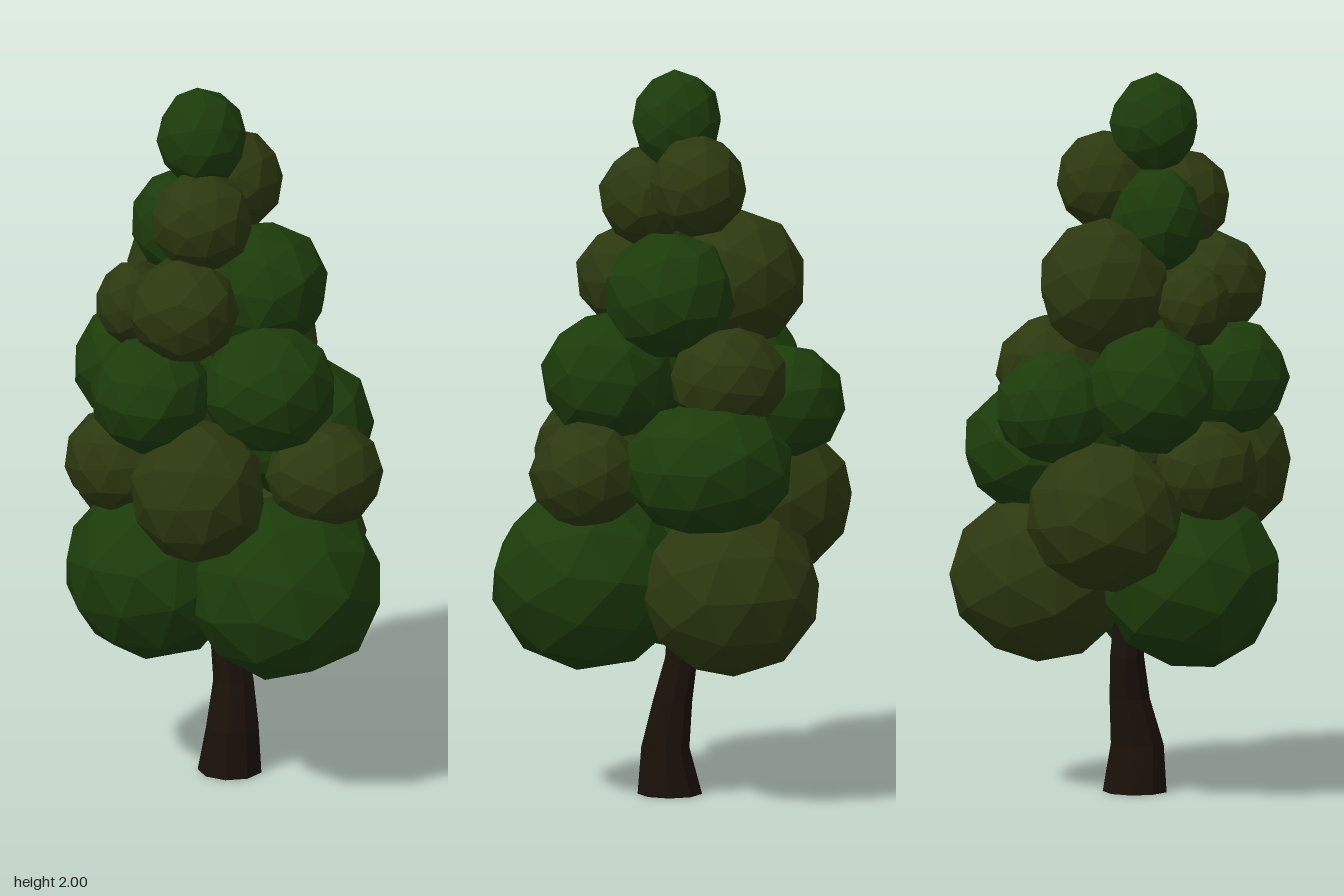
import * as THREE from 'three';

const leafDark = new THREE.MeshStandardMaterial({ color: 0x1c3b0a, flatShading: true });
const leafOlive = new THREE.MeshStandardMaterial({ color: 0x2b380f, flatShading: true });
const bark = new THREE.MeshStandardMaterial({ color: 0x1a1009, flatShading: true, side: THREE.DoubleSide });

// Faceted clump: a turned, slightly uneven icosphere
function clump(rx, ry, rz, seed) {
  const geo = new THREE.IcosahedronGeometry(1, 1);
  geo.applyMatrix4(new THREE.Matrix4().makeRotationFromEuler(
    new THREE.Euler(seed * 1.7, seed * 2.3, seed * 0.9)));
  const p = geo.attributes.position;
  const v = new THREE.Vector3();
  for (let i = 0; i < p.count; i++) {
    v.fromBufferAttribute(p, i);
    const k = 1.015 + 0.03 * Math.sin(v.x * 5 + seed) * Math.cos(v.y * 4 - v.z * 3 + seed);
    p.setXYZ(i, v.x * rx * k, v.y * ry * k, v.z * rz * k);
  }
  geo.computeVertexNormals();
  return geo;
}

// Bent tapering trunk, open at both ends, from rings: [y, x, z, rx, rz]
function trunkGeometry() {
  const rings = [
    [0, -0.014, 0.005, 0.09, 0.09],
    [0.13, -0.014, 0.018, 0.076, 0.067],
    [0.26, 0, 0, 0.057, 0.055],
    [0.38, -0.005, -0.025, 0.048, 0.045],
    [0.6, -0.02, -0.035, 0.036, 0.036],
  ];
  const geo = new THREE.CylinderGeometry(1, 1, 1, 9, rings.length - 1, true);
  const p = geo.attributes.position;
  for (let i = 0; i < p.count; i++) {
    const row = Math.round((p.getY(i) + 0.5) * (rings.length - 1));
    const [y, x, z, rx, rz] = rings[row];
    p.setXYZ(i, x + p.getX(i) * rx, y, z + p.getZ(i) * rz);
  }
  geo.computeVertexNormals();
  return geo;
}

export function createModel() {
  const tree = new THREE.Group();
  tree.name = 'tree';

  const trunk = new THREE.Mesh(trunkGeometry(), bark);
  trunk.name = 'trunk';
  tree.add(trunk);

  // Foliage tiers from the bottom up: [olive?, x, y, z, rx, ry, rz]
  const tiers = {
    bottomFoliage: [
      [0, 0.02, 0.605, 0.24, 0.27, 0.25, 0.265],
      [1, 0.21, 0.6, -0.13, 0.25, 0.237, 0.245],
      [0, -0.22, 0.613, -0.055, 0.245, 0.25, 0.255],
    ],
    lowerFoliage: [
      [1, -0.08, 0.805, -0.3, 0.213, 0.205, 0.21],
      [1, -0.21, 0.905, 0.155, 0.183, 0.203, 0.198],
      [1, 0.135, 0.92, 0.26, 0.165, 0.147, 0.153],
      [0, 0.235, 0.945, -0.065, 0.217, 0.19, 0.235],
      [1, -0.31, 0.925, -0.12, 0.135, 0.14, 0.15],
    ],
    middleFoliage: [
      [0, 0.005, 1.17, 0.18, 0.188, 0.178, 0.18],
      [0, -0.287, 1.165, 0.035, 0.165, 0.163, 0.167],
      [1, 0.17, 1.18, -0.13, 0.155, 0.145, 0.163],
      [0, 0.075, 1.1, -0.308, 0.16, 0.155, 0.158],
      [0, -0.182, 1.155, -0.215, 0.172, 0.178, 0.17],
    ],
    upperFoliage: [
      [0, 0.08, 1.405, 0.02, 0.182, 0.175, 0.182],
      [1, -0.21, 1.41, 0.08, 0.15, 0.147, 0.155],
      [1, -0.02, 1.428, -0.19, 0.177, 0.188, 0.182],
      [1, -0.26, 1.38, -0.11, 0.1, 0.115, 0.1],
    ],
    topFoliage: [
      [1, -0.13, 1.645, 0.045, 0.14, 0.14, 0.138],
      [1, 0.04, 1.7, -0.065, 0.135, 0.14, 0.133],
      [0, -0.13, 1.605, -0.085, 0.128, 0.145, 0.122],
      [0, -0.088, 1.86, -0.025, 0.122, 0.138, 0.123],
    ],
  };

  let seed = 1;
  for (const [name, clumps] of Object.entries(tiers)) {
    const tier = new THREE.Group();
    tier.name = name;
    for (const [olive, x, y, z, rx, ry, rz] of clumps) {
      const mesh = new THREE.Mesh(clump(rx, ry, rz, seed++), olive ? leafOlive : leafDark);
      mesh.name = 'leafClump';
      mesh.position.set(x, y, z);
      tier.add(mesh);
    }
    tree.add(tier);
  }
  return tree;
}
